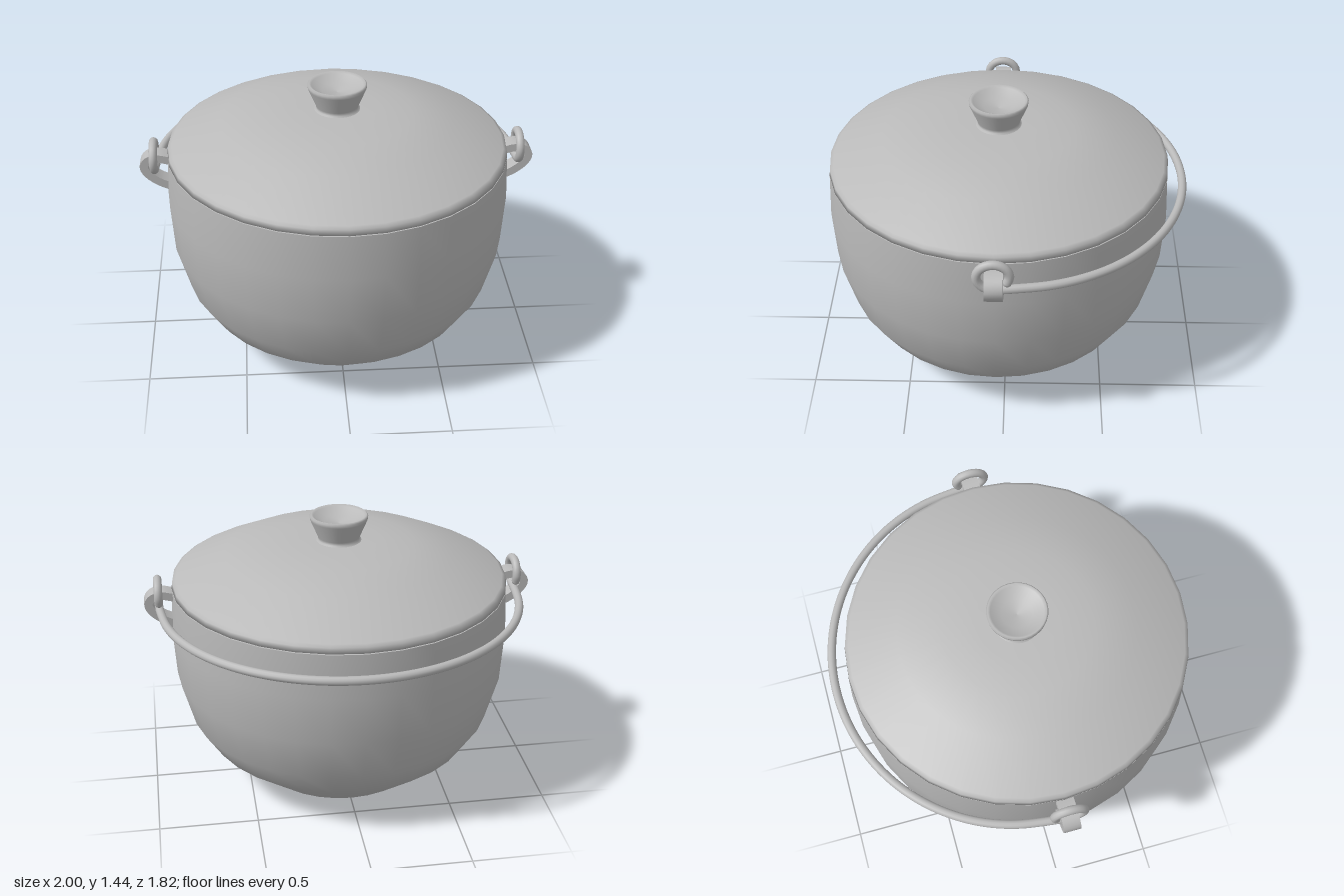
import * as THREE from 'three';
import { toCreasedNormals } from 'three/addons/utils/BufferGeometryUtils.js';

const POT_Z = 0.04;      // the pot sits slightly forward of the swung-back bail
const WIRE_R = 0.0215;

export function createModel() {
  const model = new THREE.Group();
  model.name = 'lidded pot';
  const metal = new THREE.MeshStandardMaterial({ color: 0xbababa });
  metal.name = 'grey metal';

  function add(name, geometry, z = 0) {
    const mesh = new THREE.Mesh(geometry, metal);
    mesh.name = name;
    mesh.position.z = z;
    model.add(mesh);
    return mesh;
  }
  const lathe = (pts, sides = 32) =>
    new THREE.LatheGeometry(pts.map(([x, y]) => new THREE.Vector2(x, y)), sides);

  // Bowl: outer wall, rim and inner wall
  add('bowl', lathe([[0, 0], [0.36, 0.003], [0.44, 0.02], [0.70, 0.23], [0.79, 0.37],
    [0.853, 0.6], [0.868, 0.85], [0.857, 1.08]]), POT_Z);
  add('bowlRim', lathe([[0.857, 1.08], [0.82, 1.08]]), POT_Z);
  add('bowlInside', lathe([[0.82, 1.08], [0.83, 0.85], [0.81, 0.6], [0.67, 0.27],
    [0.42, 0.06], [0, 0.045]]), POT_Z);

  // Domed lid
  add('lid', lathe([[0, 1.083], [0.8, 1.083], [0.857, 1.085], [0.853, 1.115], [0.835, 1.125],
    [0.585, 1.242], [0.38, 1.286], [0.2, 1.298], [0, 1.3]]), POT_Z);

  // Flared knob with a dished top
  add('knob', lathe([[0.12, 1.296], [0.105, 1.304], [0.107, 1.32], [0.146, 1.412], [0.148, 1.428],
    [0.14, 1.436], [0.128, 1.428], [0.075, 1.398], [0, 1.386]]), POT_Z);

  // Lugs: a flat strap bent outwards from the wall
  const bend = new THREE.CatmullRomCurve3([[0.85, 0.905], [0.91, 0.935], [0.962, 0.98], [0.978, 1.02],
    [0.955, 1.053], [0.91, 1.063], [0.85, 1.05]].map(([x, y]) => new THREE.Vector3(x, y, 0)));
  const outer = [], inner = [];
  for (let i = 0; i <= 18; i++) {
    const p = bend.getPoint(i / 18), t = bend.getTangent(i / 18);
    outer.push(new THREE.Vector2(p.x + t.y * 0.021, p.y - t.x * 0.021));
    inner.push(new THREE.Vector2(p.x - t.y * 0.021, p.y + t.x * 0.021));
  }
  const strap = toCreasedNormals(new THREE.ExtrudeGeometry(
    new THREE.Shape([...outer, ...inner.reverse()]),
    { depth: 0.086, bevelEnabled: false }).translate(0, 0, -0.043), 0.7);
  add('leftLug', strap, POT_Z);
  const rightLug = add('rightLug', strap, POT_Z);
  rightLug.rotation.y = Math.PI;

  // Bail: a half hoop behind the pot, its ends curled up through the lugs
  const curl = [];
  for (let i = 0; i <= 12; i++) {
    const a = -Math.PI / 2 + (i / 12) * 5.2;
    const k = 1 - 0.12 * (i / 12) ** 3;
    curl.push(new THREE.Vector3(0.926, 1.062 + 0.072 * k * Math.sin(a), POT_Z + 0.08 * k * Math.cos(a)));
  }
  const arc = [];
  for (let i = 0; i <= 20; i++) {
    const a = Math.PI * (0.03 + 0.94 * i / 20);
    arc.push(new THREE.Vector3(0.918 * Math.cos(a), 0.99, -0.893 * Math.sin(a)));
  }
  const mirrored = curl.map((p) => new THREE.Vector3(-p.x, p.y, p.z));
  const path = new THREE.CatmullRomCurve3([...curl.reverse(), ...arc, ...mirrored]);
  add('bail', new THREE.TubeGeometry(path, 200, WIRE_R, 12));

  // Rounded wire ends
  for (const t of [0, 1]) {
    const cap = add('bailEnd', new THREE.SphereGeometry(WIRE_R, 12, 8));
    cap.position.copy(path.getPoint(t));
  }
  return model;
}
